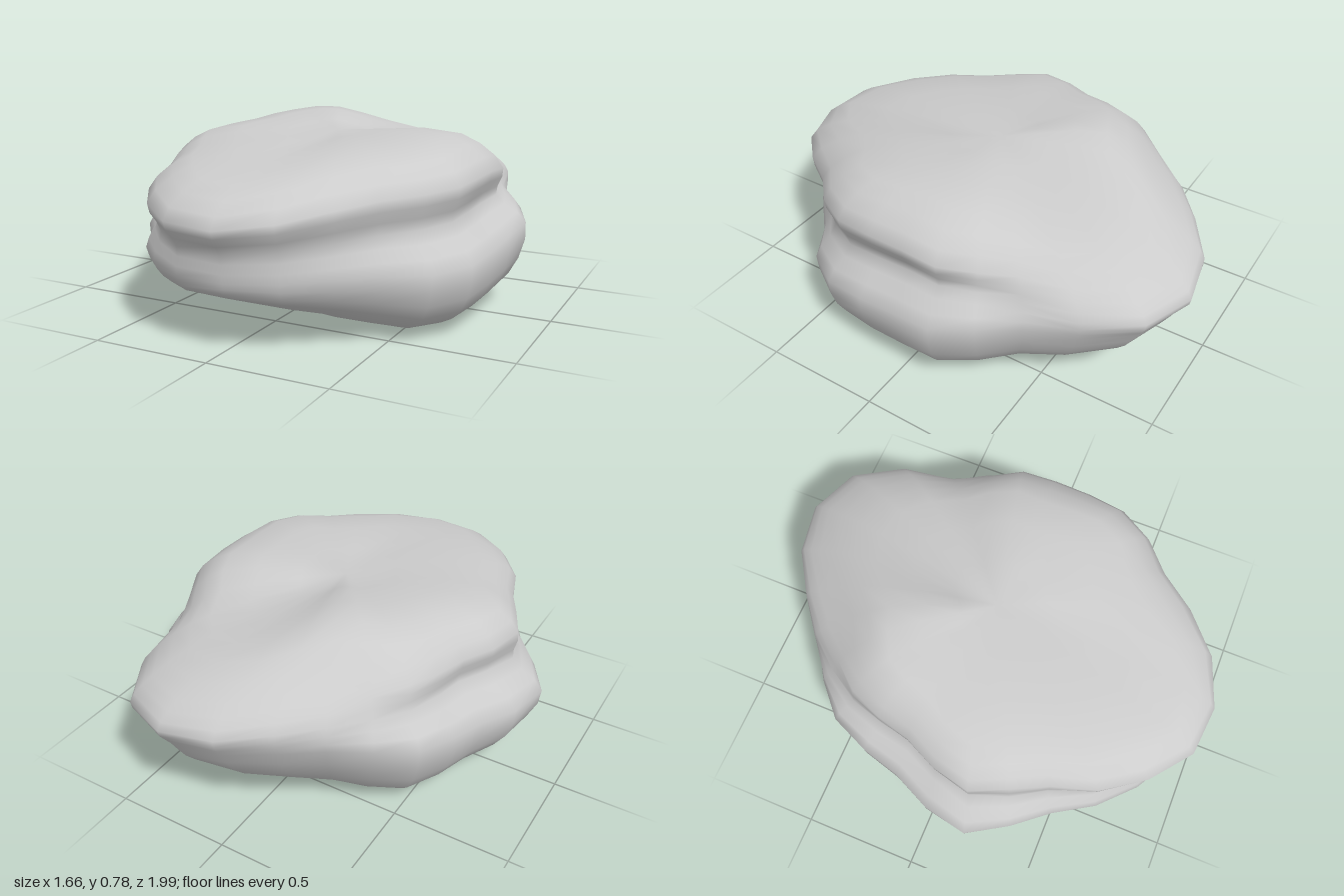
import * as THREE from 'three';

// Widest radius of the boulder, at 28 equal steps from +x towards +z
const OUTLINE = [
  0.78, 0.79, 0.83, 0.83, 0.79, 0.835, 0.925, 0.99, 0.985, 0.92, 0.87, 0.82, 0.84, 0.88,
  0.82, 0.76, 0.775, 0.805, 0.80, 0.81, 0.865, 0.96, 1.025, 1.005, 0.905, 0.81, 0.81, 0.82,
];
// Outline steps that carry a vertical profile
const STATIONS = [0, 3, 5, 7, 9, 12, 14, 17, 19, 22, 24, 26];
// Each profile is [share of the outline radius, height] at:
// underside, lower edge, lower bulge, waist, upper bulge, top shoulder
const PROFILES = [
  [[0.73, 0.015], [0.95, 0.13], [1.00, 0.33], [0.84, 0.46], [0.90, 0.60], [0.66, 0.735]],
  [[0.70, 0.01], [0.92, 0.10], [1.00, 0.29], [0.88, 0.44], [0.92, 0.58], [0.72, 0.715]],
  [[0.60, 0.05], [0.90, 0.16], [0.98, 0.29], [0.95, 0.42], [1.00, 0.55], [0.72, 0.69]],
  [[0.45, 0.11], [0.91, 0.22], [0.935, 0.28], [0.945, 0.39], [1.00, 0.49], [0.84, 0.62]],
  [[0.50, 0.08], [0.90, 0.19], [0.98, 0.29], [0.94, 0.40], [1.00, 0.52], [0.78, 0.65]],
  [[0.62, 0.02], [0.87, 0.10], [1.00, 0.30], [0.88, 0.43], [0.875, 0.57], [0.70, 0.69]],
  [[0.67, 0.02], [0.90, 0.09], [1.00, 0.31], [0.82, 0.46], [0.85, 0.58], [0.66, 0.72]],
  [[0.70, 0.02], [0.88, 0.11], [1.00, 0.38], [0.87, 0.50], [0.85, 0.61], [0.62, 0.76]],
  [[0.58, 0.02], [0.78, 0.12], [0.98, 0.41], [0.97, 0.52], [0.83, 0.63], [0.55, 0.775]],
  [[0.50, 0.055], [0.85, 0.23], [0.95, 0.38], [1.00, 0.47], [0.90, 0.56], [0.60, 0.67]],
  [[0.58, 0.04], [0.87, 0.19], [0.98, 0.37], [1.00, 0.47], [0.90, 0.56], [0.66, 0.65]],
  [[0.68, 0.03], [0.89, 0.13], [1.00, 0.38], [0.87, 0.48], [0.86, 0.57], [0.66, 0.71]],
];
const CENTRE_X = 0.03, BOTTOM_Y = 0.045, TOP_Y = 0.725;
const AROUND = OUTLINE.length, RINGS = 21;

const spline = (a, b, c, d, t) =>
  0.5 * (2 * b + (c - a) * t + (2 * a - 5 * b + 4 * c - d) * t * t + (3 * b - a - 3 * c + d) * t * t * t);

// Smooth profile at one outline step, blended between the stations around it
function profileAt(step) {
  const n = STATIONS.length;
  const i = STATIONS.findLastIndex((s) => s <= step);
  const next = i + 1 < n ? STATIONS[i + 1] : AROUND;
  const t = (step - STATIONS[i]) / (next - STATIONS[i]);
  const [a, b, c, d] = [-1, 0, 1, 2].map((k) => PROFILES[(i + k + n) % n]);
  const points = b.map((_, j) => {
    const [share, y] = [0, 1].map((m) => spline(a[j][m], b[j][m], c[j][m], d[j][m], t));
    return new THREE.Vector3(share * OUTLINE[step], y, 0);
  });
  return new THREE.CatmullRomCurve3(
    [new THREE.Vector3(0, BOTTOM_Y, 0), ...points, new THREE.Vector3(0, TOP_Y, 0)], false, 'centripetal');
}

function boulderGeometry() {
  const position = [CENTRE_X, BOTTOM_Y, 0, CENTRE_X, TOP_Y, 0]; // the two poles
  const index = [];
  const at = (i, j) => 2 + (i % AROUND) * (RINGS - 1) + j - 1;
  for (let i = 0; i < AROUND; i++) {
    const angle = (i / AROUND) * Math.PI * 2;
    const curve = profileAt(i);
    for (let j = 1; j < RINGS; j++) {
      const p = curve.getPoint(j / RINGS);
      position.push(CENTRE_X + p.x * Math.cos(angle), p.y, p.x * Math.sin(angle));
    }
    index.push(0, at(i, 1), at(i + 1, 1));
    for (let j = 1; j < RINGS - 1; j++) {
      const a = at(i, j), b = at(i + 1, j), c = at(i + 1, j + 1), d = at(i, j + 1);
      index.push(a, d, b, b, d, c);
    }
    index.push(1, at(i + 1, RINGS - 1), at(i, RINGS - 1));
  }
  const geometry = new THREE.BufferGeometry();
  geometry.setAttribute('position', new THREE.Float32BufferAttribute(position, 3));
  geometry.setIndex(index);
  geometry.computeVertexNormals();
  return geometry;
}

export function createModel() {
  const stone = new THREE.MeshStandardMaterial({ color: 0xcccccc });
  stone.name = 'stone grey';
  const boulder = new THREE.Mesh(boulderGeometry(), stone);
  boulder.name = 'boulder';
  const model = new THREE.Group();
  model.name = 'rock';
  model.add(boulder);
  return model;
}
